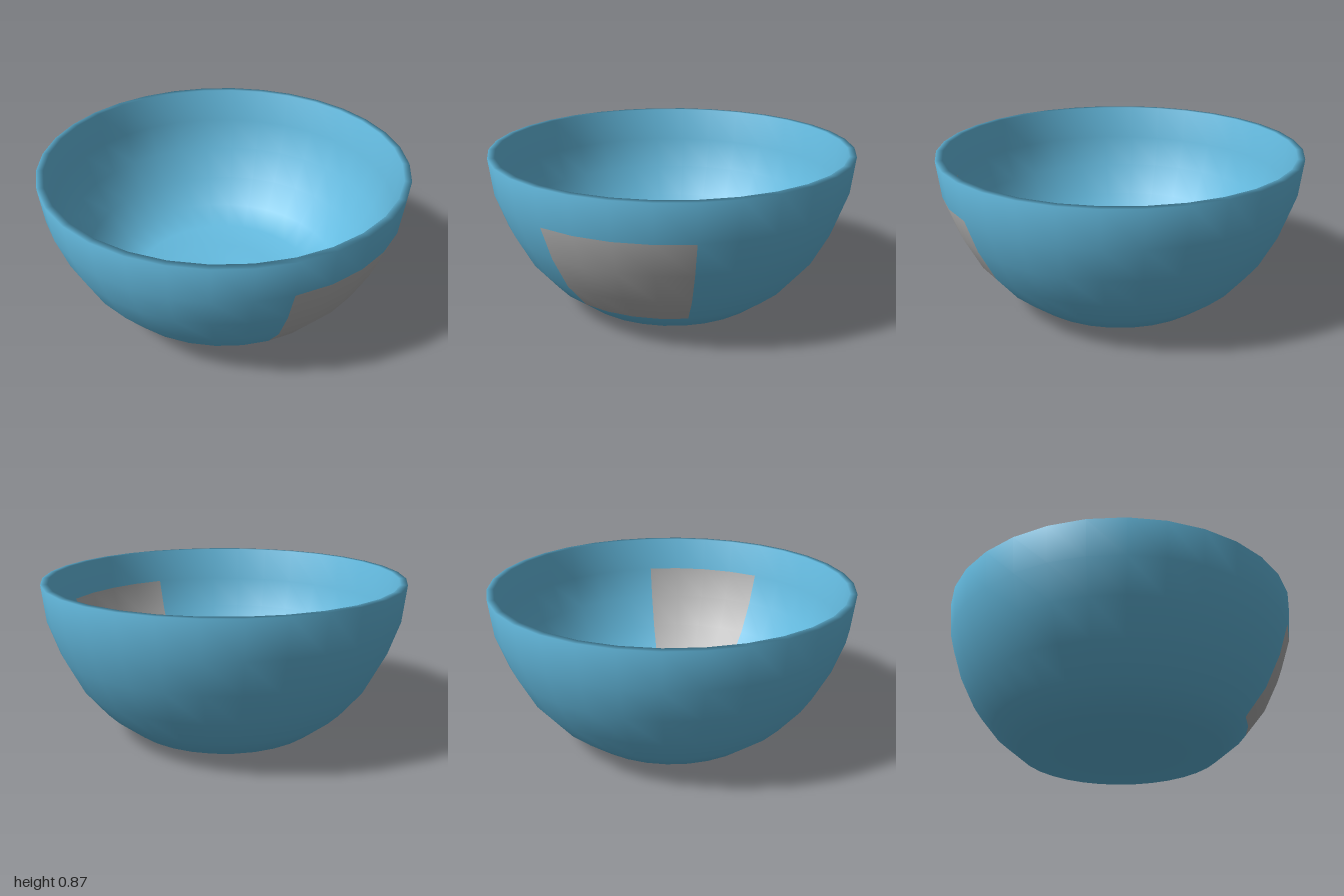
import * as THREE from 'three';

const SEGMENTS = 32;

export function createModel() {
  const model = new THREE.Group();
  model.name = 'bowl';

  const blue = new THREE.MeshStandardMaterial({ color: 0x64bbe0 });
  blue.name = 'sky blue';
  const grey = new THREE.MeshStandardMaterial({ color: 0xb2b2b2 });
  grey.name = 'light grey';

  // Closed profile: underside centre, up the outside, over the rim, down the inside
  const profile = [
    [0, 0], [0.31, 0.037], [0.56, 0.037],
    [0.71, 0.16], [0.83, 0.31], [0.92, 0.49], [0.98, 0.67], [1, 0.87],
    [0.962, 0.87], [0.942, 0.67], [0.882, 0.49], [0.792, 0.31], [0.672, 0.16],
    [0.53, 0.077], [0.31, 0.077], [0, 0.04],
  ].map(([r, y]) => new THREE.Vector2(r, y));
  const geometry = new THREE.LatheGeometry(profile, SEGMENTS);

  // Grey panel on the left side, four segments wide, seen on both faces of the wall
  const rows = profile.length - 1;
  const isPanel = (segment, row) =>
    segment >= 6 && segment <= 9 && ((row >= 3 && row <= 5) || (row >= 9 && row <= 11));
  let start = 0;
  let current = 0;
  for (let cell = 0; cell < SEGMENTS * rows; cell++) {
    const material = isPanel(Math.floor(cell / rows), cell % rows) ? 1 : 0;
    if (material !== current) {
      geometry.addGroup(start * 6, (cell - start) * 6, current);
      start = cell;
      current = material;
    }
  }
  geometry.addGroup(start * 6, (SEGMENTS * rows - start) * 6, current);

  const bowl = new THREE.Mesh(geometry, [blue, grey]);
  bowl.name = 'bowlWithPanel';
  model.add(bowl);
  return model;
}
